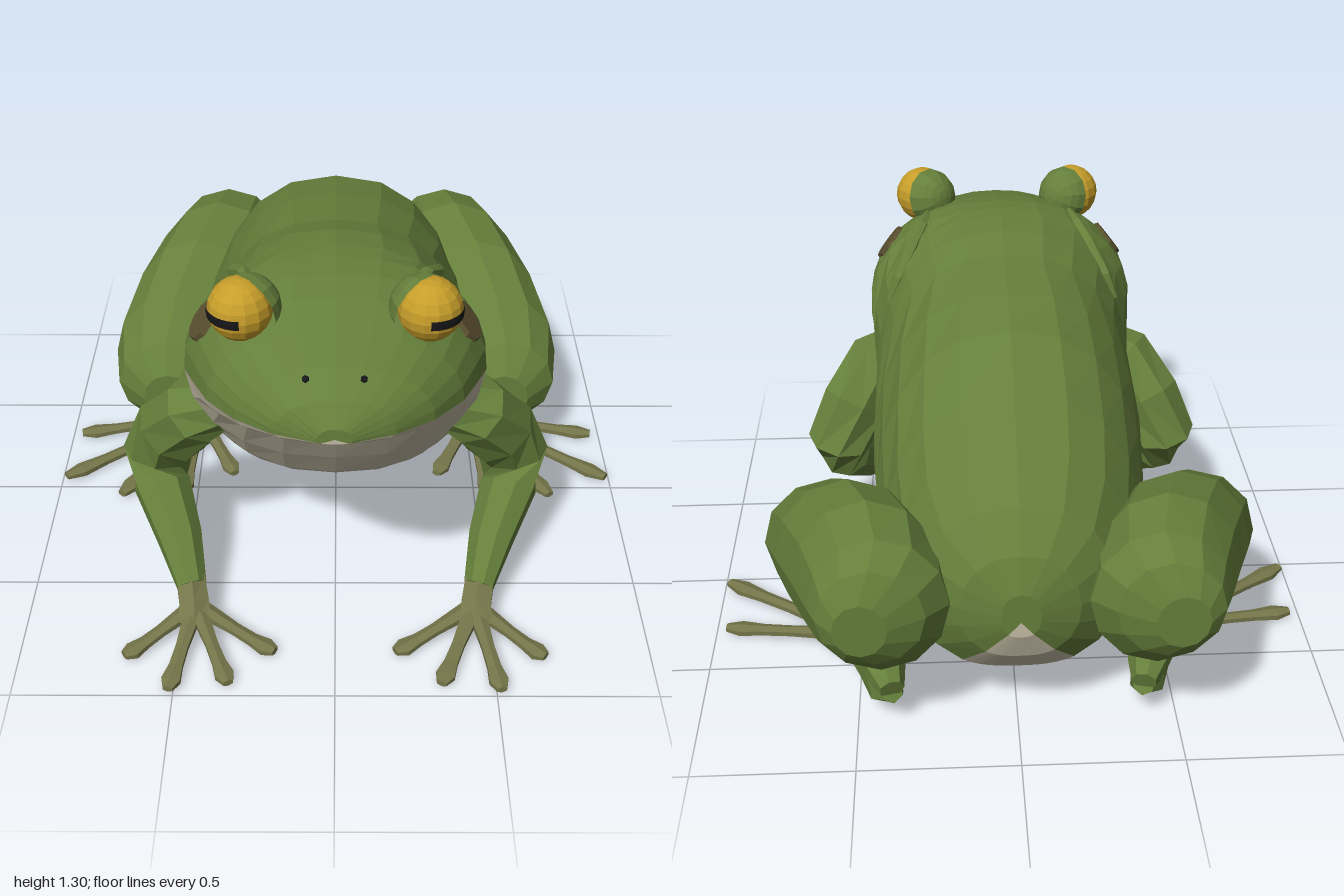
import * as THREE from 'three';

const V = (x, y, z) => new THREE.Vector3(x, y, z);
const mat = (name, color) => Object.assign(new THREE.MeshStandardMaterial({ color }), { name });

// Unshared vertices give flat facets
function facet(geo) {
  const g = geo.index ? geo.toNonIndexed() : geo;
  g.computeVertexNormals();
  return g;
}

// Skin a list of closed rings, ends capped; keep(j) selects columns
function loft(rings, keep = () => true) {
  const n = rings[0].length;
  const mid = r => {
    const c = r.reduce((a, p) => a.add(p), V(0, 0, 0)).divideScalar(n);
    return r.map(() => c);
  };
  const all = [mid(rings[0]), ...rings, mid(rings[rings.length - 1])];
  const tris = [];
  let volume = 0;
  for (let i = 0; i < all.length - 1; i++) for (let j = 0; j < n; j++) {
    const k = (j + 1) % n;
    const a = all[i][j], b = all[i][k], c = all[i + 1][k], d = all[i + 1][j];
    for (const t of [[a, b, c], [a, c, d]]) {
      const cross = t[1].clone().sub(t[0]).cross(t[2].clone().sub(t[0]));
      if (cross.length() < 1e-9) continue;
      volume += cross.dot(t[0]);
      if (keep(j)) tris.push(t);
    }
  }
  const pts = tris.flatMap(t => (volume < 0 ? [t[0], t[2], t[1]] : t));
  return facet(new THREE.BufferGeometry().setFromPoints(pts));
}

// Tapered limb through [x, y, z, halfWidth, halfHeight]
function limb(pts, sides = 6) {
  const c = pts.map(p => V(p[0], p[1], p[2]));
  return loft(pts.map(([, , , w, h = w], i) => {
    const t = c[Math.min(i + 1, c.length - 1)].clone().sub(c[Math.max(i - 1, 0)]).normalize();
    const side = t.clone().cross(V(0, 1, 0)).normalize();
    const up = side.clone().cross(t);
    return Array.from({ length: sides }, (_, j) => {
      const a = (j + 0.5) / sides * Math.PI * 2;
      return c[i].clone().addScaledVector(side, Math.cos(a) * w).addScaledVector(up, Math.sin(a) * h);
    });
  }));
}

function mirrored(geo) {
  const g = geo.clone().scale(-1, 1, 1), p = g.attributes.position;
  const a = V(0, 0, 0), b = V(0, 0, 0);
  for (let i = 0; i < p.count; i += 3) {
    a.fromBufferAttribute(p, i + 1);
    b.fromBufferAttribute(p, i + 2);
    p.setXYZ(i + 1, b.x, b.y, b.z);
    p.setXYZ(i + 2, a.x, a.y, a.z);
  }
  return facet(g);
}

// Thin disc at a point, facing a direction
function disc(r, depth, pos, normal, sides) {
  const g = new THREE.CylinderGeometry(r * 0.9, r, depth, sides);
  g.applyQuaternion(new THREE.Quaternion().setFromUnitVectors(V(0, 1, 0), normal.normalize()));
  return facet(g.translate(pos.x, pos.y, pos.z));
}

export function createModel() {
  const root = new THREE.Group();
  root.name = 'frog';
  const green = mat('skin green', 0x657f3b);
  const pale = mat('belly grey', 0xc4bca5);
  const olive = mat('toe olive', 0x75754a);
  const gold = mat('eye gold', 0xc79e2a);
  const brown = mat('ear brown', 0x5a5030);
  const black = mat('pupil black', 0x161618);

  const add = (name, geo, m) => {
    const mesh = new THREE.Mesh(geo, m);
    mesh.name = name;
    root.add(mesh);
  };
  const pair = (name, geo, m) => {
    add('left ' + name, geo, m);
    add('right ' + name, mirrored(geo), m);
  };

  // Body sections: z, top, widest height, bottom, half width, colour seam height
  const sections = [
    [0.985, 1.015, 0.975, 0.965, 0.05, 0.968],
    [0.94, 1.075, 0.97, 0.935, 0.17, 0.965],
    [0.86, 1.135, 0.96, 0.89, 0.28, 0.955],
    [0.74, 1.17, 0.94, 0.82, 0.37, 0.935],
    [0.62, 1.205, 0.92, 0.71, 0.42, 0.915],
    [0.52, 1.225, 0.9, 0.55, 0.455, 0.89],
    [0.43, 1.23, 0.88, 0.42, 0.46, 0.84],
    [0.36, 1.23, 0.8, 0.36, 0.45, 0.67],
    [0.25, 1.22, 0.7, 0.28, 0.44, 0.6],
    [0.13, 1.185, 0.63, 0.21, 0.445, 0.6],
    [-0.1, 1.155, 0.56, 0.135, 0.45, 0.42],
    [-0.3, 1.115, 0.52, 0.11, 0.435, 0.32],
    [-0.5, 1.01, 0.48, 0.11, 0.41, 0.22],
    [-0.65, 0.91, 0.47, 0.14, 0.37, 0.19],
    [-0.8, 0.8, 0.48, 0.22, 0.3, 0.25],
    [-0.89, 0.69, 0.5, 0.33, 0.18, 0.35],
    [-0.93, 0.58, 0.5, 0.43, 0.06, 0.44],
  ];
  const U = 7, L = 5;
  const bodyRings = sections.map(([z, top, mid, bot, w, seam]) => {
    const s = Math.acos((seam - mid) / (mid - bot));
    const half = [];
    for (let i = 0; i <= U + L; i++) {
      const a = i <= U ? s * i / U : s + (Math.PI - s) * (i - U) / L;
      const c = Math.cos(a);
      const power = c < 0 && z < 0.3 ? 0.74 : 0.85;
      half.push(V(w * Math.pow(Math.max(0, Math.sin(a)), power), mid + c * (c > 0 ? top - mid : mid - bot), z));
    }
    return [...half, ...half.slice(1, -1).reverse().map(p => V(-p.x, p.y, p.z))];
  });
  const isBelly = j => j >= U && j < U + 2 * L;
  add('back and head', loft(bodyRings, j => !isBelly(j)), green);
  add('belly and throat', loft(bodyRings, isBelly), pale);

  // Eyes, lids and slit pupils
  const eye = V(0.267, 1.2, 0.665);
  pair('eyeball', facet(new THREE.SphereGeometry(0.094, 14, 10).translate(eye.x, eye.y, eye.z)), gold);
  const lid = new THREE.SphereGeometry(0.1, 12, 5, 0, Math.PI * 2, 0, Math.PI * 0.45);
  lid.applyQuaternion(new THREE.Quaternion().setFromUnitVectors(V(0, 1, 0), V(-0.66, 0.22, -0.72).normalize()));
  pair('eyelid', facet(lid.translate(0.25, 1.195, 0.65)), green);
  const pupil = new THREE.SphereGeometry(0.097, 10, 1, 1.55, 1.65, Math.PI / 2 - 0.15, 0.3);
  pair('pupil', facet(pupil.translate(eye.x, eye.y, eye.z)), black);

  // Ear discs, ear folds and nostrils
  pair('eardrum', disc(0.07, 0.02, V(0.386, 1.07, 0.53), V(0.78, 0.6, 0.12), 10), brown);
  pair('ear fold', limb([[0.25, 1.18, 0.53, 0.01], [0.27, 1.172, 0.43, 0.022], [0.305, 1.13, 0.35, 0.025],
    [0.355, 1.04, 0.28, 0.022], [0.39, 0.96, 0.26, 0.01]]), green);
  pair('nostril', disc(0.011, 0.008, V(0.08, 1.112, 0.885), V(0.2, 0.8, 0.5), 6), black);

  // Front legs
  pair('upper arm', limb([[0.36, 0.7, 0.43, 0.09], [0.44, 0.66, 0.41, 0.12, 0.115], [0.53, 0.53, 0.34, 0.115, 0.125],
    [0.59, 0.4, 0.295, 0.11, 0.115], [0.575, 0.31, 0.36, 0.095], [0.51, 0.2, 0.5, 0.075], [0.465, 0.11, 0.63, 0.05]], 8), green);
  pair('hand', limb([[0.47, 0.12, 0.61, 0.052], [0.455, 0.075, 0.68, 0.055, 0.045], [0.45, 0.045, 0.74, 0.06, 0.025]]), olive);

  // A toe with a slim shaft and a padded tip
  const toe = (x0, y0, z0, x1, z1) => {
    const at = (f, w, h) => [x0 + (x1 - x0) * f, y0 + (0.016 - y0) * Math.min(1, f * 1.2), z0 + (z1 - z0) * f, w, h];
    return limb([at(0, 0.034, 0.024), at(0.5, 0.023, 0.016), at(0.72, 0.025, 0.016), at(0.89, 0.035, 0.018), at(1, 0.018, 0.012)]);
  };
  [[0.19, 0.83], [0.33, 0.965], [0.515, 0.99], [0.665, 0.85]].forEach(([x, z], i) =>
    pair('front toe ' + (i + 1), toe(0.45, 0.07, 0.68, x, z), olive));

  // Folded thighs: z, centre x, centre y, half width, half height
  const thigh = [
    [-1.0, 0.465, 0.52, 0.08, 0.09], [-0.96, 0.435, 0.535, 0.16, 0.165], [-0.88, 0.415, 0.52, 0.21, 0.235],
    [-0.72, 0.445, 0.495, 0.235, 0.29], [-0.52, 0.51, 0.45, 0.24, 0.285], [-0.33, 0.575, 0.38, 0.23, 0.24],
    [-0.19, 0.605, 0.335, 0.18, 0.17], [-0.12, 0.6, 0.31, 0.09, 0.1],
  ];
  pair('thigh', loft(thigh.map(([z, x, y, w, h]) => Array.from({ length: 12 }, (_, j) => {
    const a = j / 12 * Math.PI * 2;
    return V(x + Math.cos(a) * w, y + Math.sin(a) * h, z);
  }))), green);

  // Shins, ankles and hind feet
  pair('shin', limb([[0.57, 0.22, -0.25, 0.08], [0.5, 0.19, -0.5, 0.085], [0.41, 0.17, -0.74, 0.065], [0.39, 0.15, -0.81, 0.04]], 7), green);
  pair('ankle', limb([[0.39, 0.13, -0.8, 0.035], [0.41, 0.095, -0.74, 0.06, 0.045], [0.45, 0.07, -0.6, 0.06, 0.042],
    [0.5, 0.045, -0.44, 0.07, 0.03]]), green);
  pair('hind foot', limb([[0.49, 0.045, -0.48, 0.07, 0.032], [0.54, 0.035, -0.36, 0.13, 0.024], [0.58, 0.025, -0.26, 0.12, 0.014]]), olive);
  [[0.37, -0.06], [0.55, 0.055], [0.77, 0.06], [0.985, -0.04], [0.965, -0.3]].forEach(([x, z], i) =>
    pair('hind toe ' + (i + 1), toe(0.52, 0.035, -0.38, x, z), olive));

  return root;
}
